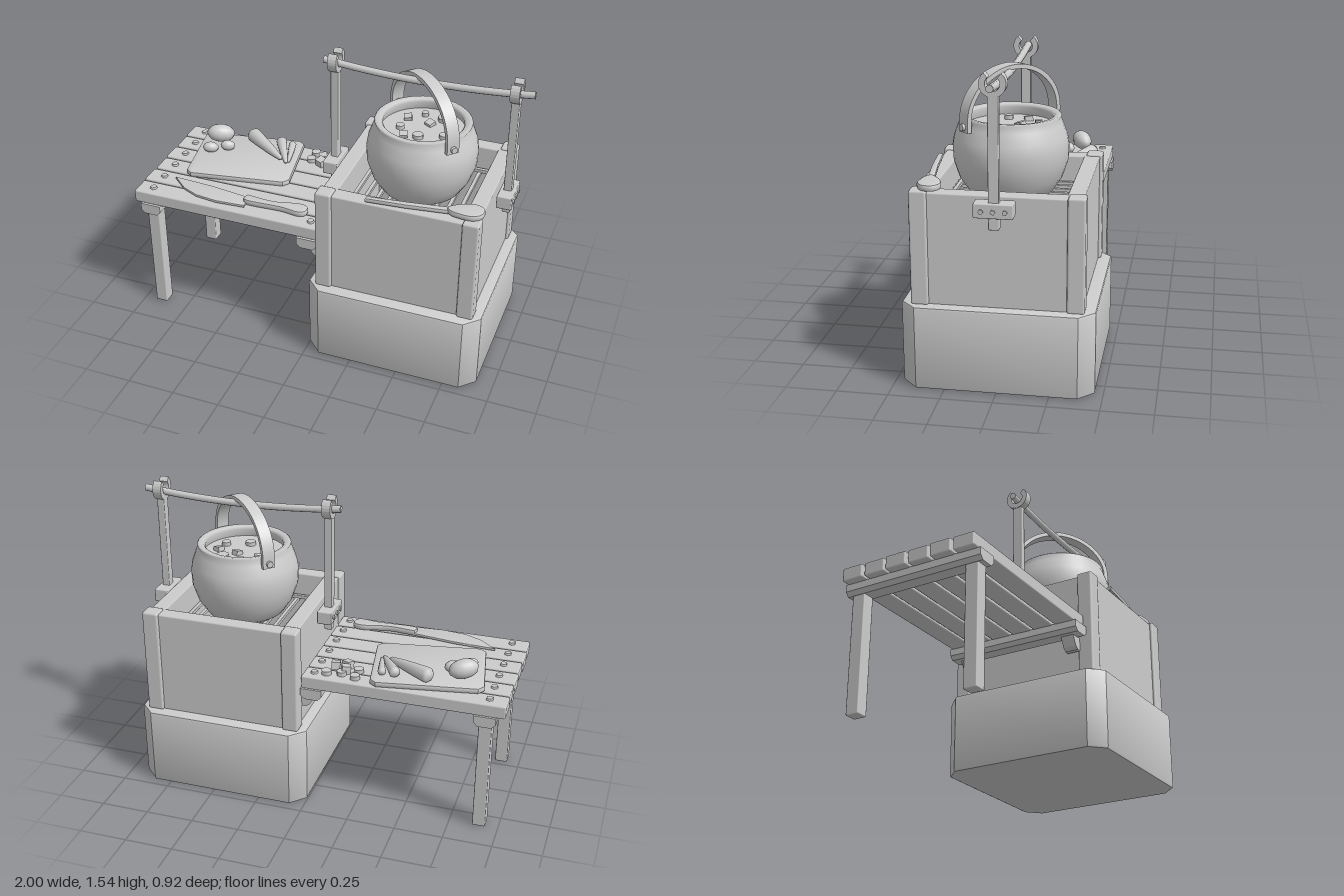
import * as THREE from 'three';
import { toCreasedNormals } from 'three/addons/utils/BufferGeometryUtils.js';
import { RoundedBoxGeometry } from 'three/addons/geometries/RoundedBoxGeometry.js';

const grey = new THREE.MeshStandardMaterial({ color: 0xcccccc });
const grey2 = new THREE.MeshStandardMaterial({ color: 0xcccccc, side: THREE.DoubleSide });
const CX = 0.457; // stove centre

export function createModel() {
  const root = new THREE.Group();
  const group = (name, parent = root) => {
    const g = new THREE.Group();
    g.name = name;
    parent.add(g);
    return g;
  };
  const add = (parent, name, geo, x = 0, y = 0, z = 0, mat = grey) => {
    const m = new THREE.Mesh(geo, mat);
    m.name = name;
    m.position.set(x, y, z);
    parent.add(m);
    return m;
  };
  // softly bevelled box given by its extents
  const box = (parent, name, x0, x1, y0, y1, z0, z1, r = 0.008) =>
    add(parent, name, new RoundedBoxGeometry(x1 - x0, y1 - y0, z1 - z0, 1, r),
      (x0 + x1) / 2, (y0 + y1) / 2, (z0 + z1) / 2);
  // flat outline of [x, z] points, raised from y = 0 to h with bevelled edges
  const slab = (pts, h, b, smooth = false) => {
    const v = pts.map(p => new THREE.Vector2(p[0], -p[1]));
    const shape = smooth ? new THREE.Shape(new THREE.SplineCurve([...v, v[0]]).getPoints(36).slice(0, -1)) : new THREE.Shape(v);
    const geo = new THREE.ExtrudeGeometry(shape, {
      depth: h - 2 * b, bevelThickness: b, bevelSize: b, bevelOffset: -b, bevelSegments: 2, curveSegments: 6,
    });
    return toCreasedNormals(geo.translate(0, 0, b).rotateX(-Math.PI / 2), 0.6);
  };
  // rectangle with cut corners
  const cutRect = (hx, hz, c) => [
    [-hx + c, -hz], [hx - c, -hz], [hx, -hz + c], [hx, hz - c],
    [hx - c, hz], [-hx + c, hz], [-hx, hz - c], [-hx, -hz + c],
  ];

  // stone plinth
  add(root, 'plinth', slab(cutRect(0.456, 0.46, 0.075), 0.415, 0.012), CX);

  // firebox: corner posts, side panels and grate
  const firebox = group('firebox');
  for (const sx of [-1, 1]) {
    for (const sz of [-1, 1]) {
      const px = CX + sx * 0.3725, pz = sz * 0.3675;
      box(firebox, 'cornerPost', px - 0.0425, px + 0.0425, 0.41, 0.97, pz - 0.0425, pz + 0.0425, 0.012);
    }
    const x = CX + sx * 0.36;
    box(firebox, 'sidePanel', x - 0.04, x + 0.04, 0.41, 0.96, -0.335, 0.335);
    box(firebox, 'frontBackPanel', CX - 0.335, CX + 0.335, 0.41, 0.96, sx * 0.355 - 0.04, sx * 0.355 + 0.04);
  }
  const grate = group('grate');
  for (let i = 0; i < 11; i++) {
    const x = CX - 0.3 + i * 0.06;
    box(grate, 'grateBar', x - 0.01, x + 0.01, 0.81, 0.83, -0.32, 0.32, 0.003);
  }
  for (const z of [-0.29, 0.29]) box(grate, 'grateCrossBar', CX - 0.325, CX + 0.325, 0.825, 0.845, z - 0.01, z + 0.01, 0.003);

  // cooking pot
  const pot = group('pot');
  pot.position.x = 0.463;
  const profile = [[0, 0.83], [0.14, 0.835], [0.205, 0.88], [0.25, 0.95], [0.276, 1.03], [0.28, 1.1], [0.272, 1.15],
    [0.25, 1.21], [0.238, 1.235], [0.243, 1.245], [0.235, 1.252], [0.21, 1.248], [0.2, 1.235], [0.21, 1.2], [0.22, 1.15]];
  add(pot, 'potBody', new THREE.LatheGeometry(profile.map(p => new THREE.Vector2(...p)), 40), 0, 0, 0, grey2);
  add(pot, 'soup', new THREE.CylinderGeometry(0.218, 0.218, 0.01, 40), 0, 1.19);
  [[0.075, -0.115, 0.033], [0.0, 0.09, 0.027], [-0.11, 0.03, 0.022], [0.12, 0.05, 0.024], [-0.03, -0.13, 0.018]]
    .forEach(([x, z, r]) => add(pot, 'soupSlice', new THREE.CylinderGeometry(r, r, 0.03, 9).toNonIndexed(), x, 1.2, z));
  [[-0.1, -0.07], [0.02, -0.05], [-0.07, 0.1], [0.13, -0.03]].forEach(([x, z], i) => {
    add(pot, 'soupCube', new THREE.BoxGeometry(0.04, 0.035, 0.04), x, 1.198, z).rotation.set(0.15, i * 0.8 + 0.3, 0.1);
  });

  // arched strap handle with rivets
  const handle = group('potHandle', pot);
  handle.rotation.y = -0.74;
  const arch = new THREE.Shape();
  arch.moveTo(0.278, 1.2).lineTo(0.278, 1.25);
  arch.absellipse(0, 1.25, 0.278, 0.24, 0, Math.PI, false);
  arch.lineTo(-0.278, 1.2).lineTo(-0.256, 1.2).lineTo(-0.256, 1.25);
  arch.absellipse(0, 1.25, 0.256, 0.218, Math.PI, 0, true);
  arch.lineTo(0.256, 1.2);
  const archGeo = new THREE.ExtrudeGeometry(arch, { depth: 0.066, bevelEnabled: false, curveSegments: 24 });
  add(handle, 'handleStrap', toCreasedNormals(archGeo.translate(0, 0, -0.033), 0.5));
  for (const s of [-1, 1]) {
    add(handle, 'handleRivet', new THREE.CylinderGeometry(0.017, 0.017, 0.06, 8), s * 0.262, 1.225).rotation.z = Math.PI / 2;
  }

  // hanging frame: uprights, forks, brackets and sagging bar
  const frame = group('hangingFrame');
  const fork = new THREE.Shape();
  const a0 = Math.PI * 0.72, a1 = Math.PI * 2.28;
  fork.absarc(0, 0, 0.062, a0, a1, false);
  fork.absarc(0, 0, 0.034, a1, a0, true);
  const forkGeo = new THREE.ExtrudeGeometry(fork, { depth: 0.046, bevelEnabled: false, curveSegments: 10 })
    .translate(0, 0, -0.023).rotateY(-Math.PI / 2);
  for (const s of [-1, 1]) {
    const x = CX + s * 0.455;
    box(frame, 'upright', x - 0.02, x + 0.02, 0.82, 1.45, -0.025, 0.025, 0.005);
    add(frame, 'fork', forkGeo, x, 1.493);
    box(frame, 'bracket', x - 0.038, x + 0.038, 0.88, 0.95, -0.092, 0.092, 0.006);
    for (const z of [-0.055, 0, 0.055]) {
      add(frame, 'bracketBolt', new THREE.CylinderGeometry(0.012, 0.012, 0.012, 6), x + s * 0.04, 0.913, z).rotation.z = Math.PI / 2;
    }
  }
  const sag = new THREE.QuadraticBezierCurve3(
    new THREE.Vector3(-0.06, 1.485, 0), new THREE.Vector3(0.47, 1.425, 0), new THREE.Vector3(1, 1.485, 0));
  add(frame, 'hangingBar', new THREE.TubeGeometry(sag, 20, 0.018, 10), 0, 0, 0);
  for (const s of [-1, 1]) {
    const cap = add(frame, 'barEnd', new THREE.CircleGeometry(0.018, 10), 0.47 + s * 0.53, 1.485);
    cap.rotation.y = s * Math.PI / 2;
  }

  // plank table
  const table = group('table');
  for (let i = 0; i < 6; i++) {
    const z = -0.31 + i * 0.1235;
    box(table, 'plank', -1 + (i % 2) * 0.004, 0.036, 0.65, 0.718, z - 0.056, z + 0.056);
    for (const x of [-0.91, -0.018]) add(table, 'plankBolt', new THREE.CylinderGeometry(0.017, 0.02, 0.014, 6), x, 0.722, z);
  }
  // cross beams, cut at their lower edges
  const beamShape = new THREE.Shape([[-0.055, 0.652], [-0.055, 0.615], [-0.035, 0.595], [0.035, 0.595], [0.055, 0.615], [0.055, 0.652]]
    .map(p => new THREE.Vector2(...p)));
  for (const x of [-0.902, -0.018]) {
    add(table, 'crossBeam', new THREE.ExtrudeGeometry(beamShape, { depth: 0.75, bevelEnabled: false }), x, 0, -0.375);
  }
  const corbel = new THREE.Shape([[-0.03, 0.6], [0, 0.545], [0.02, 0.53], [0.045, 0.53], [0.045, 0.6]].map(p => new THREE.Vector2(...p)));
  for (const s of [-1, 1]) {
    box(table, 'tableLeg', -0.935, -0.869, 0, 0.61, s * 0.315 - 0.035, s * 0.315 + 0.035, 0.006);
    add(table, 'corbel', new THREE.ExtrudeGeometry(corbel, { depth: 0.07, bevelEnabled: false }), 0, 0, s * 0.3 - 0.035);
  }

  // cutting board
  const board = add(root, 'cuttingBoard', slab(cutRect(0.282, 0.217, 0.03), 0.03, 0.008), -0.562, 0.72, -0.112);
  board.rotation.y = 0.17;

  // knife
  const knife = group('knife');
  add(knife, 'knifeBlade', slab([[-0.84, 0.19], [-0.62, 0.203], [-0.39, 0.235], [-0.385, 0.315], [-0.54, 0.325],
    [-0.66, 0.31], [-0.75, 0.27]], 0.014, 0.003), 0, 0.722);
  add(knife, 'knifeHandle', slab([[-0.4, 0.232], [-0.25, 0.243], [-0.12, 0.215], [-0.065, 0.23], [-0.06, 0.275],
    [-0.1, 0.295], [-0.2, 0.283], [-0.39, 0.287]], 0.034, 0.01, true), 0, 0.72);

  // vegetables
  const food = group('vegetables');
  const carrotPts = r => [[0, 0], [0.7, 0.02], [1, 0.07], [0.85, 0.35], [0.6, 0.7], [0.32, 0.95], [0, 1]]
    .map(p => new THREE.Vector2(p[0] * r, p[1]));
  [[-0.61, -0.295, -0.36, -0.13, 0.04], [-0.435, -0.3, -0.325, -0.105, 0.029], [-0.365, -0.3, -0.318, -0.12, 0.021]]
    .forEach(([x0, z0, x1, z1, r]) => {
      const dir = new THREE.Vector3(x1 - x0, -r * 0.6, z1 - z0);
      const m = add(food, 'carrot', new THREE.LatheGeometry(carrotPts(r), 10), x0, 0.75 + r * 0.95, z0);
      m.scale.y = dir.length();
      m.quaternion.setFromUnitVectors(new THREE.Vector3(0, 1, 0), dir.normalize());
    });
  [[-0.755, 0.807, -0.205, 0.077, 0.05, 0.05, 0.5], [-0.765, 0.778, -0.09, 0.043, 0.029, 0.03, 0.5], [-0.685, 0.778, -0.14, 0.04, 0.029, 0.027, 0.5]]
    .forEach(([x, y, z, sx, sy, sz, ry]) => {
      const m = add(food, 'potato', new THREE.SphereGeometry(1, 12, 8), x, y, z);
      m.scale.set(sx, sy, sz);
      m.rotation.set(0, ry, -0.15);
    });
  [[-0.23, -0.31], [-0.155, -0.29], [-0.08, -0.305], [-0.23, -0.24]].forEach(([x, z]) =>
    add(food, 'carrotSlice', new THREE.CylinderGeometry(0.026, 0.026, 0.022, 8).toNonIndexed(), x, 0.73, z));
  [[-0.17, -0.265], [-0.165, -0.215], [-0.11, -0.24]].forEach(([x, z], i) => {
    add(food, 'vegetableCube', new THREE.BoxGeometry(0.045, 0.04, 0.045), x, 0.741, z).rotation.set(0.1, 0.4 + i * 0.7, 0.1);
  });

  // spoon resting on the firebox rim
  const spoon = group('spoon');
  add(spoon, 'spoonHandle', slab([[0.3, 0.372], [0.5, 0.35], [0.74, 0.315], [0.74, 0.35], [0.5, 0.382], [0.3, 0.398]], 0.024, 0.007), 0, 0.968);
  add(spoon, 'spoonBowl', slab([[0.695, 0.325], [0.75, 0.285], [0.82, 0.265], [0.868, 0.29], [0.868, 0.345],
    [0.82, 0.378], [0.74, 0.372], [0.7, 0.352]], 0.034, 0.012, true), 0, 0.967);

  return root;
}
